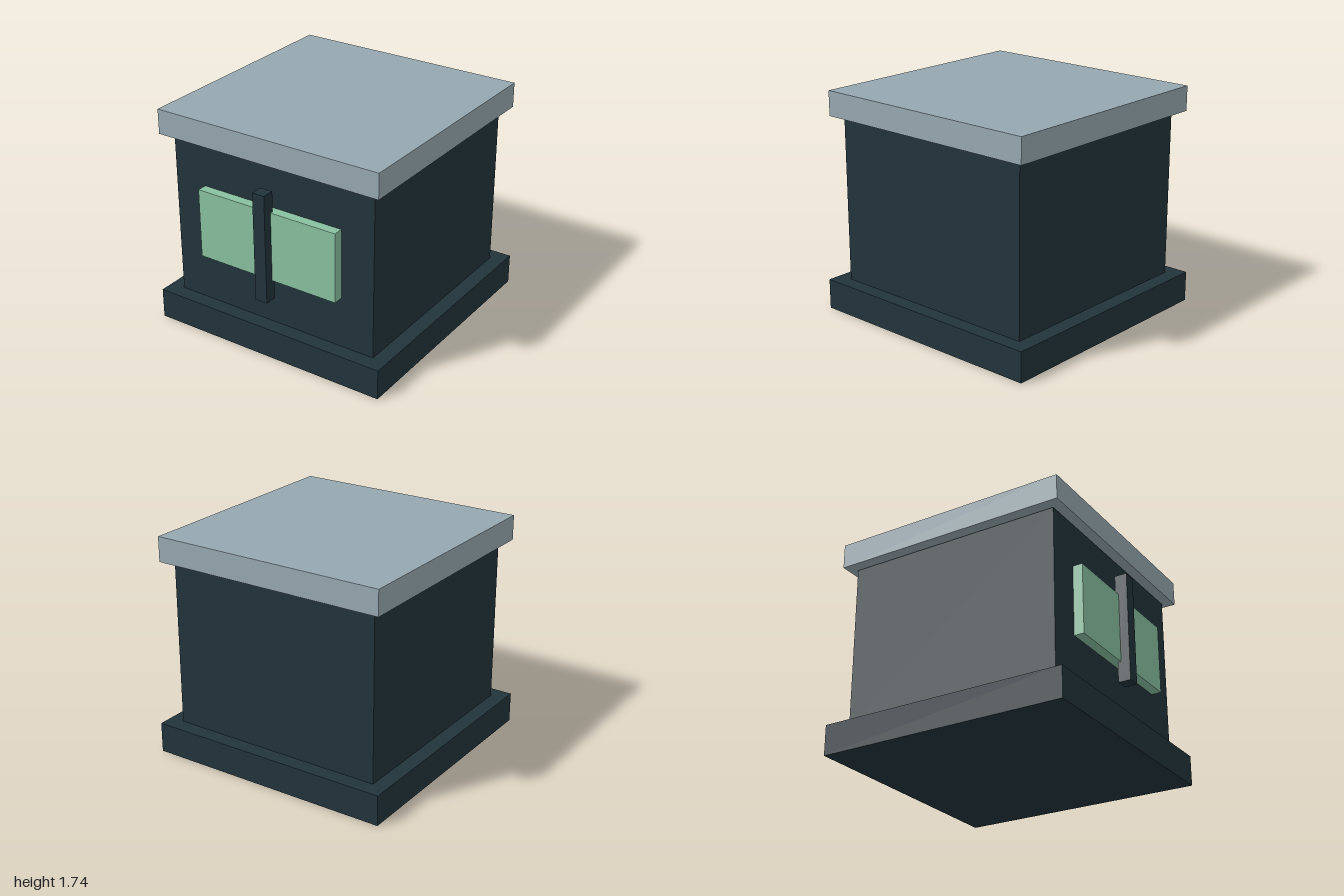
import * as THREE from 'three';

export function createModel() {
  const group = new THREE.Group();
  const darkSlate = new THREE.MeshStandardMaterial({ name: 'dark slate', color: 0x22343b });
  const paleGrey = new THREE.MeshStandardMaterial({ name: 'pale grey', color: 0x96a7af });
  const softGreen = new THREE.MeshStandardMaterial({ name: 'soft green', color: 0x88c0a0 });

  // Box given by its extents along each axis
  function block(name, material, [x0, x1], [y0, y1], [z0, z1]) {
    const mesh = new THREE.Mesh(new THREE.BoxGeometry(x1 - x0, y1 - y0, z1 - z0), material);
    mesh.position.set((x0 + x1) / 2, (y0 + y1) / 2, (z0 + z1) / 2);
    mesh.name = name;
    group.add(mesh);
  }

  // Building: plinth, walls and a slab roof resting just above them
  block('base', darkSlate, [-0.983, 0.983], [0, 0.237], [-1, 0.97]);
  block('walls', darkSlate, [-0.866, 0.866], [0.237, 1.532], [-0.88, 0.853]);
  block('roof', paleGrey, [-0.946, 0.943], [1.541, 1.736], [-0.96, 0.93]);

  // Front window with its upright bar
  block('window', softGreen, [-0.6, 0.597], [0.637, 1.185], [0.853, 0.93]);
  block('windowBar', darkSlate, [-0.052, 0.05], [0.479, 1.343], [0.903, 1]);

  return group;
}
